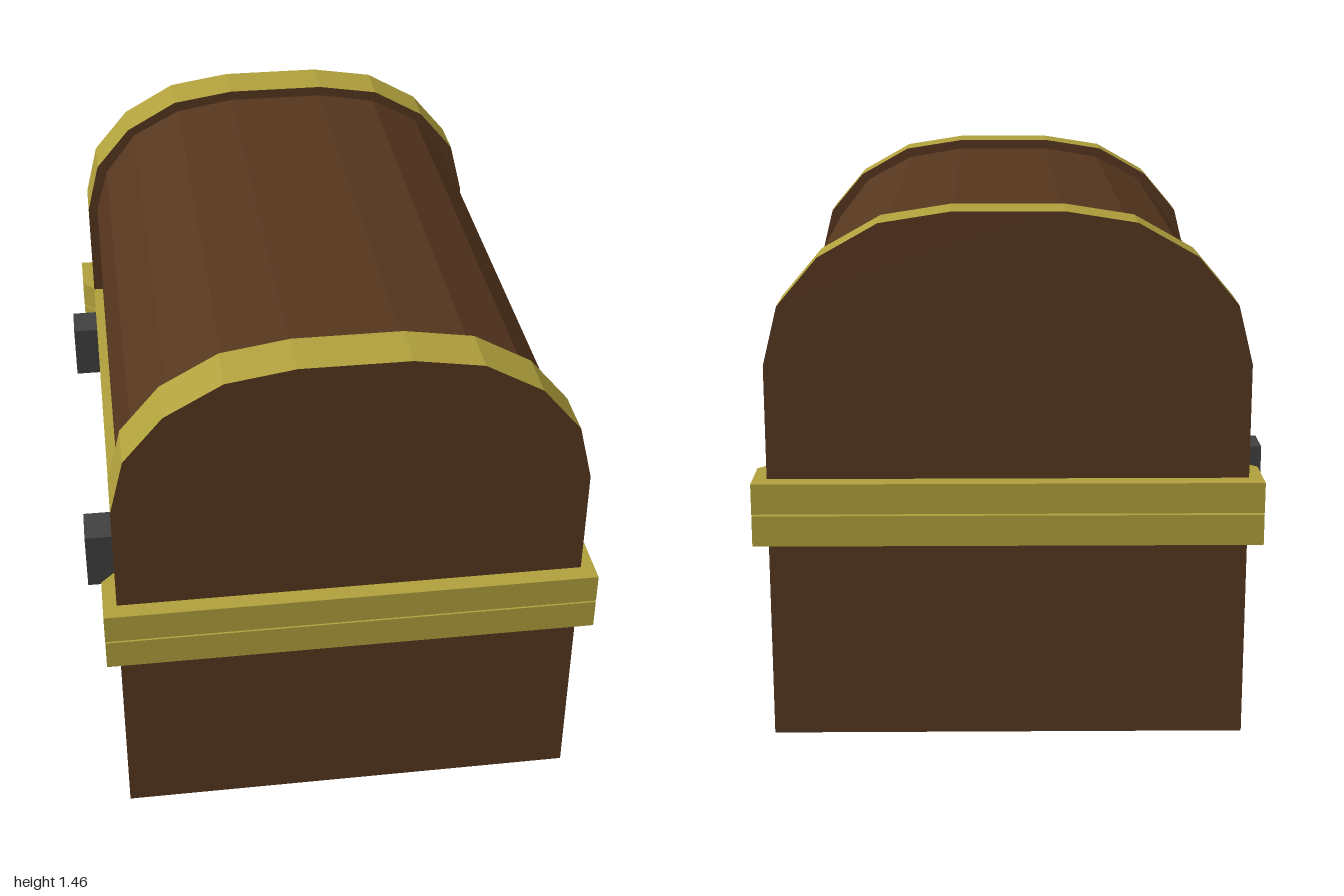
import * as THREE from 'three';

const paint = (color) => new THREE.MeshStandardMaterial({ color, flatShading: true });

export function createModel() {
  const chest = new THREE.Group();
  chest.name = 'chest';
  const wood = paint(0x56361e);
  const brass = paint(0xb0a03c);
  const iron = paint(0x404040);

  const SEAM_LOW = 0.648, SEAM_HIGH = 0.653; // narrow gap between base and lid
  const CORE_Z = 0.8, END_Z = 0.95;

  // the body sits slightly off centre because the hinges stick out further than the lock
  const body = new THREE.Group();
  body.name = 'body';
  body.position.x = 0.02;
  chest.add(body);

  function add(name, geometry, material, x = 0, y = 0, z = 0) {
    const mesh = new THREE.Mesh(geometry, material);
    mesh.name = name;
    mesh.position.set(x, y, z);
    body.add(mesh);
    return mesh;
  }

  function box(name, material, x0, x1, y0, y1, z0, z1) {
    return add(name, new THREE.BoxGeometry(x1 - x0, y1 - y0, z1 - z0), material,
      (x0 + x1) / 2, (y0 + y1) / 2, (z0 + z1) / 2);
  }

  // closed shape from the points of its +x half, listed upwards
  function mirroredShape(half) {
    const left = half.map(([x, y]) => [-x, y]).reverse();
    return new THREE.Shape([...half, ...left].map(([x, y]) => new THREE.Vector2(x, y)));
  }

  function extrude(shape, depth) {
    return new THREE.ExtrudeGeometry(shape, { depth, bevelEnabled: false });
  }

  // barrel lid cross-sections: full size at the ends, inset between them
  const endArch = mirroredShape([[0.65, SEAM_HIGH], [0.65, 1.05], [0.61, 1.21],
    [0.5, 1.34], [0.34, 1.43], [0.15, 1.46]]);
  const coreArch = mirroredShape([[0.62, SEAM_HIGH], [0.62, 1.05], [0.58, 1.19],
    [0.48, 1.32], [0.33, 1.4], [0.15, 1.43]]);

  // wooden middle
  box('baseCore', wood, -0.62, 0.62, 0, SEAM_LOW, -CORE_Z, CORE_Z);
  add('lidCore', extrude(coreArch, 2 * CORE_Z), wood, 0, 0, -CORE_Z);

  // wooden end panels edged with brass
  const baseEndMaterials = [brass, brass, wood, wood, wood, wood];
  for (const [label, z0] of [['front', CORE_Z], ['back', -END_Z]]) {
    const z1 = z0 + END_Z - CORE_Z;
    box(label + 'BaseEnd', baseEndMaterials, -0.65, 0.65, 0, SEAM_LOW, z0, z1);
    add(label + 'LidEnd', extrude(endArch, z1 - z0), [wood, brass], 0, 0, z0);
  }

  // brass belt in two halves, widening with a chamfer at the ends
  const beltOutline = mirroredShape([[0.688, -1], [0.688, -0.845], [0.65, -0.805],
    [0.65, 0.805], [0.688, 0.845], [0.688, 1]]);
  for (const [name, y0, y1] of [['baseBelt', 0.563, SEAM_LOW], ['lidBelt', SEAM_HIGH, 0.737]]) {
    const geometry = extrude(beltOutline, y1 - y0).rotateX(-Math.PI / 2);
    add(name, geometry, brass, 0, y0, 0);
  }

  // iron lock plate and hinges
  box('lock', iron, 0.62, 0.684, 0.51, 0.8, -0.185, 0.185);
  for (const [label, z] of [['front', 0.58], ['back', -0.58]]) {
    box(label + 'Hinge', iron, -0.728, -0.65, 0.567, 0.737, z - 0.06, z + 0.06);
  }

  return chest;
}
